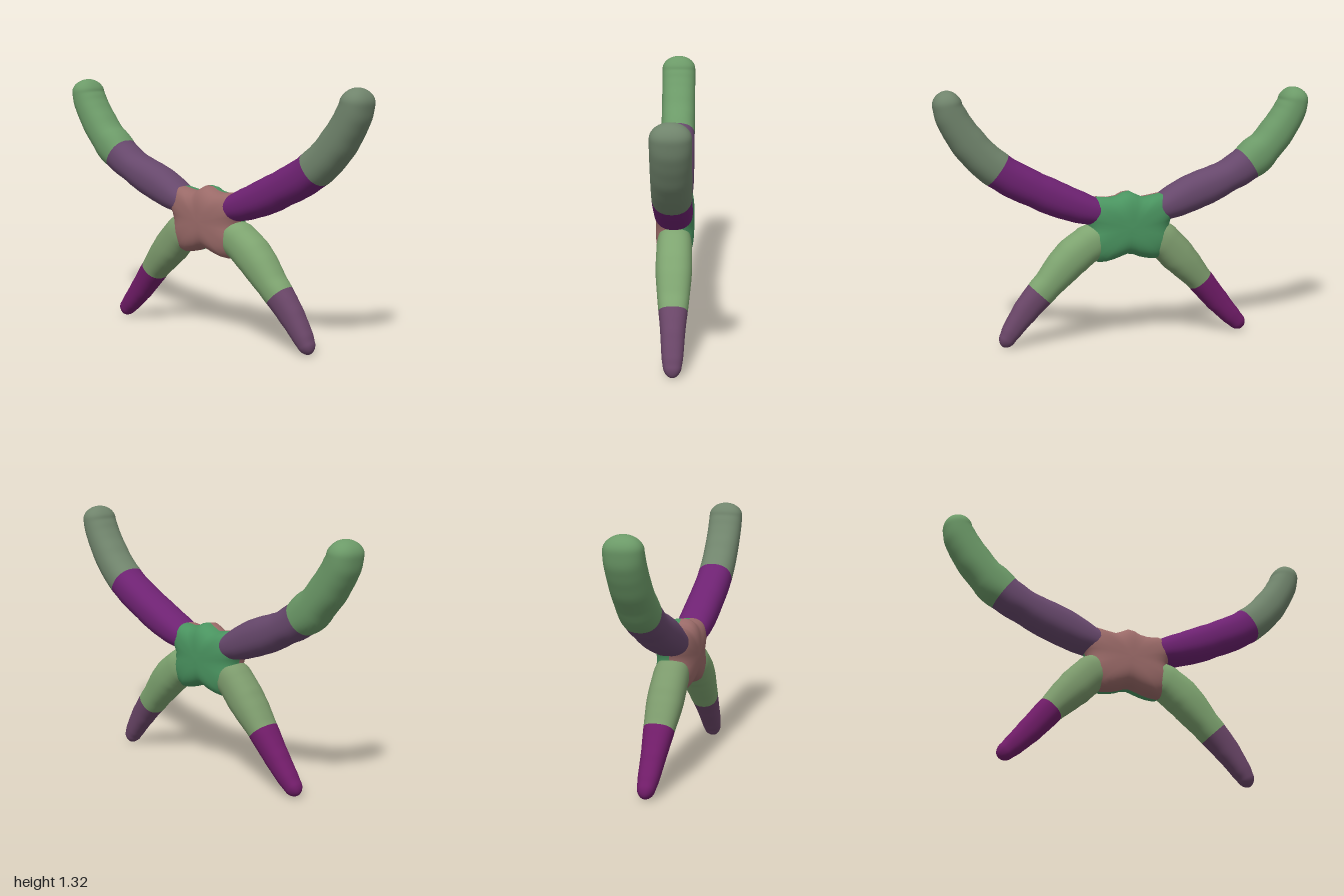
import * as THREE from 'three';

const SIDES = 36;

// Skin a list of closed rings; the first `split` bands use material 0, the rest material 1
function skin(name, rings, split, colors) {
  const index = [];
  for (let i = 0; i < rings.length - 1; i++) {
    for (let j = 0; j < SIDES; j++) {
      const k = (j + 1) % SIDES;
      const a = i * SIDES + j, b = i * SIDES + k;
      index.push(a, b, a + SIDES, b, b + SIDES, a + SIDES);
    }
  }
  const geometry = new THREE.BufferGeometry();
  geometry.setAttribute('position', new THREE.Float32BufferAttribute(rings.flat(2), 3));
  geometry.setIndex(index);
  geometry.computeVertexNormals();
  geometry.addGroup(0, split * SIDES * 6, 0);
  geometry.addGroup(split * SIDES * 6, index.length - split * SIDES * 6, 1);
  const mesh = new THREE.Mesh(geometry, colors.map((color) => new THREE.MeshStandardMaterial({ color })));
  mesh.name = name;
  return mesh;
}

const power = (v, e) => Math.sign(v) * Math.abs(v) ** e;

// Tapered limb; stations are [x, y, half width, half depth], with a rounded tip
function limb(name, stations, splitAt, cap, colors) {
  const path = new THREE.CatmullRomCurve3(stations.map(([x, y]) => new THREE.Vector3(x, y, 0)));
  const size = new THREE.CatmullRomCurve3(stations.map(([, , w, d]) => new THREE.Vector3(w, d, 0)));
  const end = path.getPoint(1);
  const steps = 70, rings = [];
  let split = 0;
  for (let i = 0; i <= steps; i++) {
    const t = 1 - (1 - i / steps) ** 1.6;
    if (t < splitAt) split = i + 1;
    const c = path.getPoint(t), dir = path.getTangent(t), s = size.getPoint(t);
    const u = Math.min(1, c.distanceTo(end) / cap);
    const round = Math.sqrt(Math.max(0, 1 - (1 - u) ** 2));
    const ripple = 1 + 0.012 * Math.sin(t * 47) + 0.008 * Math.sin(t * 83);
    const ring = [];
    for (let j = 0; j < SIDES; j++) {
      const a = (j / SIDES) * Math.PI * 2;
      const n = power(Math.cos(a), 0.88) * s.x * round * ripple;
      ring.push([c.x - dir.y * n, c.y + dir.x * n, power(Math.sin(a), 0.88) * s.y * round]);
    }
    rings.push(ring);
  }
  return skin(name, rings, split, colors);
}

// Cushion-shaped hub: a lobed outline, shrinking towards the front and back
function hub() {
  const outline = new THREE.CatmullRomCurve3([
    [0.25, 0.69], [0.2, 0.755], [0.08, 0.755], [0, 0.785], [-0.08, 0.75], [-0.2, 0.765],
    [-0.26, 0.69], [-0.22, 0.6], [-0.24, 0.5], [-0.17, 0.425], [-0.08, 0.43], [0, 0.455],
    [0.08, 0.43], [0.17, 0.42], [0.24, 0.5], [0.21, 0.6],
  ].map(([x, y]) => new THREE.Vector3(x, y, 0)), true);
  const steps = 28, rings = [];
  for (let i = 0; i <= steps; i++) {
    const a = (i / steps - 0.5) * Math.PI;
    const scale = Math.max(0, Math.cos(a)) ** 0.6;
    const z = 0.1 * power(Math.sin(a), 0.8);
    const ring = [];
    for (let j = 0; j < SIDES; j++) {
      const p = outline.getPoint(j / SIDES);
      ring.push([p.x * scale, 0.6 + (p.y - 0.6) * scale, z]);
    }
    rings.push(ring);
  }
  return skin('body', rings, steps / 2, [0x4a9460, 0x9a6a68]);
}

export function createModel() {
  const model = new THREE.Group();
  model.name = 'fourLimbedFigure';
  model.add(hub());

  // Raised arms
  model.add(limb('leftArm', [
    [0.08, 0.66, 0.06, 0.07], [0.2, 0.69, 0.075, 0.09], [0.35, 0.745, 0.09, 0.095],
    [0.5, 0.815, 0.092, 0.095], [0.64, 0.89, 0.093, 0.095], [0.76, 0.985, 0.092, 0.095],
    [0.86, 1.11, 0.086, 0.095], [0.917, 1.22, 0.076, 0.095], [0.935, 1.318, 0.066, 0.092],
  ], 0.54, 0.07, [0x6e2272, 0x70846c]));
  model.add(limb('rightArm', [
    [-0.08, 0.66, 0.06, 0.07], [-0.2, 0.695, 0.075, 0.09], [-0.35, 0.757, 0.095, 0.095],
    [-0.5, 0.815, 0.092, 0.095], [-0.64, 0.887, 0.092, 0.095], [-0.76, 0.982, 0.092, 0.095],
    [-0.865, 1.11, 0.088, 0.095], [-0.92, 1.21, 0.078, 0.095], [-0.934, 1.306, 0.068, 0.092],
  ], 0.51, 0.07, [0x67486c, 0x6c9a68]));

  // Splayed, tapering legs
  model.add(limb('leftLeg', [
    [0.09, 0.58, 0.06, 0.07], [0.2, 0.52, 0.095, 0.09], [0.3, 0.447, 0.096, 0.092],
    [0.42, 0.32, 0.078, 0.08], [0.53, 0.2, 0.068, 0.063], [0.62, 0.08, 0.05, 0.052],
    [0.667, 0, 0.034, 0.036],
  ], 0.56, 0.045, [0x7ea470, 0x6a4668]));
  model.add(limb('rightLeg', [
    [-0.09, 0.58, 0.06, 0.07], [-0.19, 0.515, 0.095, 0.09], [-0.285, 0.42, 0.092, 0.092],
    [-0.39, 0.305, 0.072, 0.08], [-0.49, 0.185, 0.064, 0.063], [-0.58, 0.085, 0.052, 0.052],
    [-0.655, 0.01, 0.038, 0.036],
  ], 0.52, 0.045, [0x7c9a6c, 0x701c68]));
  return model;
}
